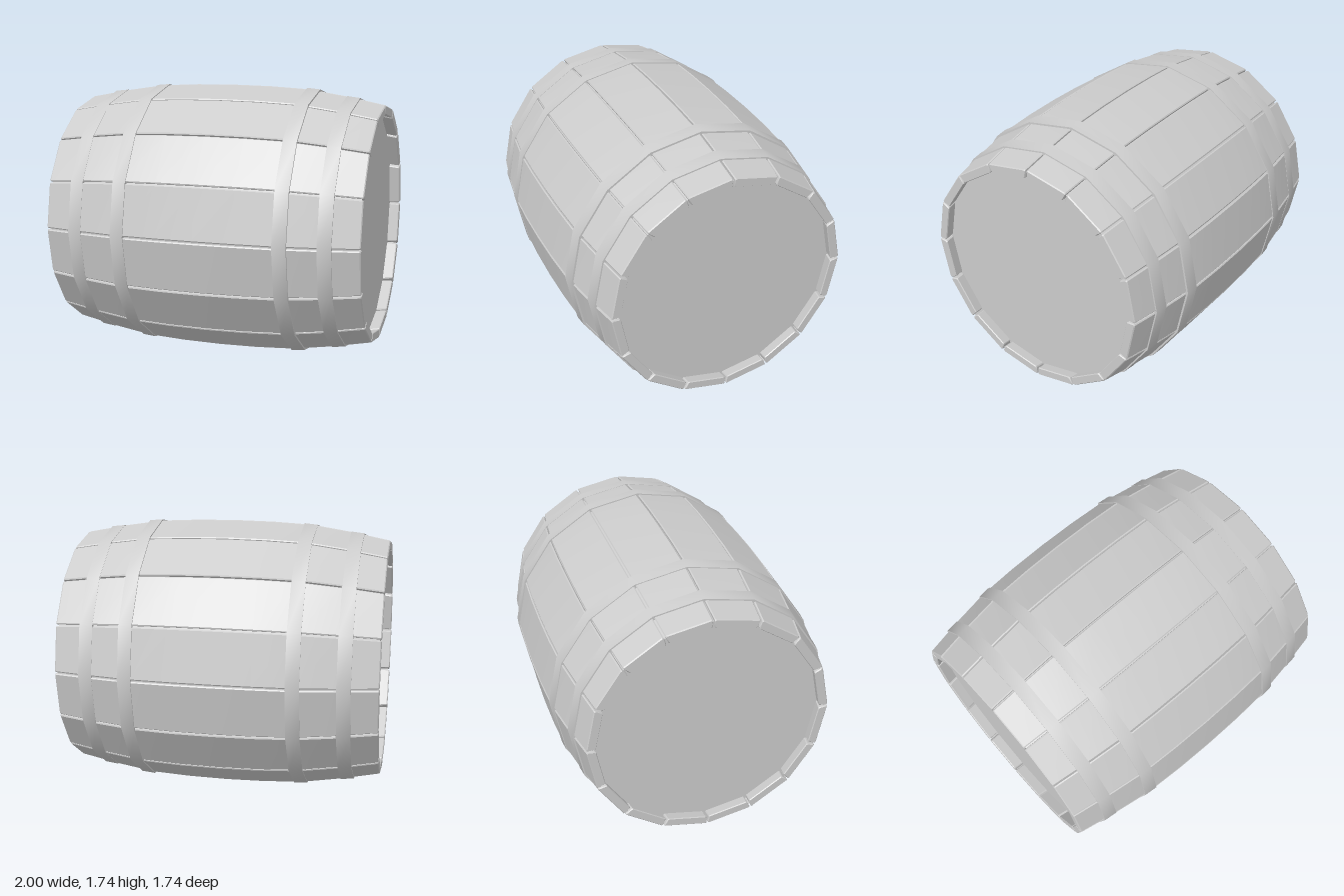
import * as THREE from 'three';
import { toCreasedNormals } from 'three/addons/utils/BufferGeometryUtils.js';

const SIDES = 16;
const HALF = Math.PI / SIDES;
const AXIS_Y = 0.8675;
const THICK = 0.058, GAP = 0.006, BEVEL = 0.006;

// Bulging profile: distance along the barrel -> corner radius
const PROFILE = [[0, 0.87], [0.25, 0.866], [0.5, 0.853], [0.75, 0.814], [1, 0.765]];
function radiusAt(x) {
  const d = Math.min(Math.abs(x), 1);
  const i = Math.min(Math.floor(d * 4), 3);
  return THREE.MathUtils.lerp(PROFILE[i][1], PROFILE[i + 1][1], d * 4 - i);
}

// Bevelled plank section as [height, across], shrunk by "inset" at the plank ends
function plankSection(x, inset) {
  const r = radiusAt(x);
  const top = r * Math.cos(HALF) - inset;
  const low = (r - THICK) * Math.cos(HALF) + inset;
  const wTop = r * Math.sin(HALF) - GAP - inset;
  const wLow = (r - THICK) * Math.sin(HALF) - GAP - inset;
  const b = BEVEL;
  return [
    [low, -wLow + b], [low + b, -wLow], [top - b, -wTop], [top, -wTop + b],
    [top, wTop - b], [top - b, wTop], [low + b, wLow], [low, wLow - b],
  ];
}

// Loft the plank along x through its cross-sections
function staveGeometry() {
  const e = 1 - BEVEL;
  const stations = [-1, -e, -0.75, -0.5, -0.25, 0, 0.25, 0.5, 0.75, e, 1];
  const pos = [], index = [], n = 8;
  stations.forEach((x) => {
    const inset = Math.abs(x) === 1 ? BEVEL * 0.8 : 0;
    for (const [h, w] of plankSection(x, inset)) pos.push(x, h, w);
  });
  for (let s = 0; s < stations.length - 1; s++) {
    for (let k = 0; k < n; k++) {
      const a = s * n + k, b = s * n + (k + 1) % n;
      index.push(a, b, a + n, b, b + n, a + n);
    }
  }
  const last = (stations.length - 1) * n;
  for (let k = 1; k < n - 1; k++) {
    index.push(0, k + 1, k, last, last + k, last + k + 1);
  }
  // Orient all faces outward
  let volume = 0;
  const v = (i) => new THREE.Vector3().fromArray(pos, i * 3);
  for (let i = 0; i < index.length; i += 3) {
    volume += v(index[i]).dot(v(index[i + 1]).cross(v(index[i + 2])));
  }
  if (volume < 0) index.reverse();
  const g = new THREE.BufferGeometry();
  g.setAttribute('position', new THREE.Float32BufferAttribute(pos, 3));
  g.setIndex(index);
  return toCreasedNormals(g, 0.5);
}

// Revolve [radius, station] points into a sixteen-sided band
function bandGeometry(points) {
  const g = new THREE.LatheGeometry(points.map(([r, x]) => new THREE.Vector2(r, x)), SIDES);
  return toCreasedNormals(g, 0.5);
}

// Closed metal band between two stations, r0 at the middle side and r1 at the end side
function hoopGeometry(x0, r0, x1, r1) {
  const t = 0.025;
  return bandGeometry([[r0 - t, x0], [r0, x0], [r1, x1], [r1 - t, x1], [r0 - t, x0]]);
}

export function createModel() {
  const barrel = new THREE.Group();
  barrel.name = 'barrel';
  const material = new THREE.MeshStandardMaterial({ color: 0xcccccc });
  const bandMaterial = new THREE.MeshStandardMaterial({ color: 0xcccccc, side: THREE.DoubleSide });

  const body = new THREE.Group();
  body.name = 'body';
  body.position.y = AXIS_Y;
  barrel.add(body);

  // Staves around the long axis
  const stave = staveGeometry();
  for (let i = 0; i < SIDES; i++) {
    const mesh = new THREE.Mesh(stave, material);
    mesh.name = `stave${i + 1}`;
    mesh.rotation.x = (2 * i + 1) * HALF;
    body.add(mesh);
  }

  // Thin lining that closes the seams between staves
  const stations = [-0.988, -0.75, -0.5, -0.25, 0, 0.25, 0.5, 0.75, 0.988];
  const lining = new THREE.Mesh(bandGeometry(stations.map((x) => [radiusAt(x) - 0.022, x])), bandMaterial);
  lining.name = 'lining';
  lining.rotation.z = -Math.PI / 2;
  body.add(lining);

  // Hoops and recessed heads at each end
  for (const [side, sign, innerStart] of [['left', 1, 0.49], ['right', -1, 0.45]]) {
    const end = new THREE.Group();
    end.name = `${side}End`;
    end.rotation.z = -sign * Math.PI / 2;
    const inner = new THREE.Mesh(hoopGeometry(innerStart, 0.861, innerStart + 0.085, 0.853), bandMaterial);
    inner.name = `${side}InnerHoop`;
    const outer = new THREE.Mesh(hoopGeometry(0.75, 0.816, 0.835, 0.806), bandMaterial);
    outer.name = `${side}OuterHoop`;
    const head = new THREE.Mesh(new THREE.CylinderGeometry(0.74, 0.74, 0.03, SIDES), material);
    head.name = `${side}Head`;
    head.position.y = 0.915;
    end.add(inner, outer, head);
    body.add(end);
  }
  return barrel;
}
